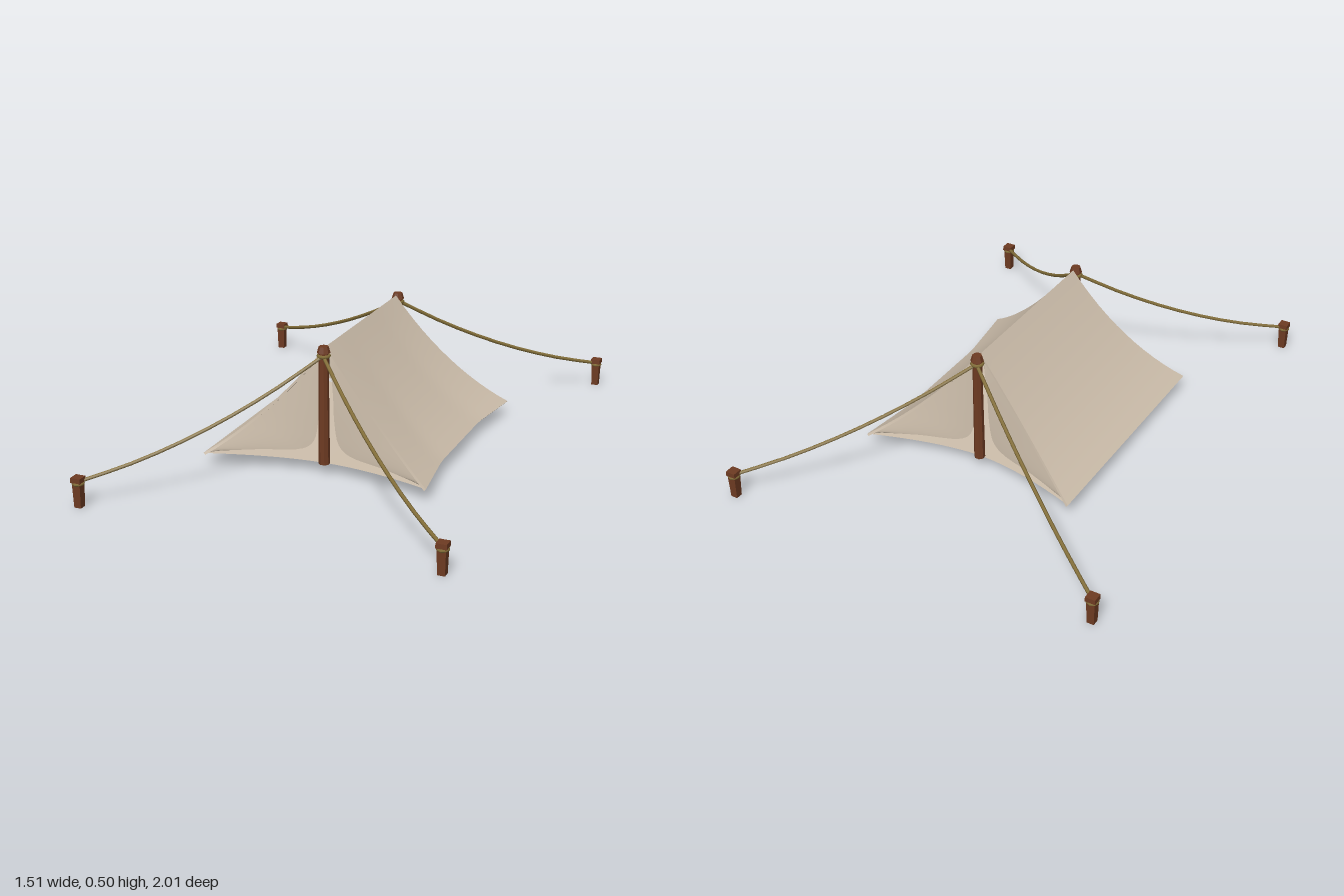
import * as THREE from 'three';
import { mergeGeometries } from 'three/addons/utils/BufferGeometryUtils.js';

const CX = 0.045; // ridge line

// Grid surface from a rule fn(u, v) -> [x, y, z], with u and v in 0..1
function surface(fn, nu, nv) {
  const pos = [], idx = [];
  for (let i = 0; i <= nu; i++)
    for (let j = 0; j <= nv; j++) pos.push(...fn(i / nu, j / nv));
  for (let i = 0; i < nu; i++)
    for (let j = 0; j < nv; j++) {
      const a = i * (nv + 1) + j, b = a + nv + 1;
      idx.push(a, a + 1, b, b, a + 1, b + 1);
    }
  const g = new THREE.BufferGeometry();
  g.setAttribute('position', new THREE.Float32BufferAttribute(pos, 3));
  g.setIndex(idx);
  g.computeVertexNormals();
  return g;
}

// Sagging roof cloth: side s, d = 0 ridge .. 1 eave, v = -1 back .. 1 front
function roofPoint(s, d, v, inset = 0) {
  const flare = Math.max(0, (Math.abs(v) - 0.45) / 0.55);
  const width = s > 0 ? 0.405 + 0.035 * flare : 0.443;
  return [
    CX + s * d * (width - inset * 0.6),
    0.49 - 0.435 * d - 0.14 * d * (1 - d) - inset * (1 - 0.4 * d),
    v * (0.35 + 0.135 * Math.pow(d, 1.7)),
  ];
}

export function createModel() {
  const model = new THREE.Group();
  const canvas = new THREE.MeshStandardMaterial({ color: 0xcfc0ad, side: THREE.DoubleSide });
  canvas.name = 'canvas';
  const wood = new THREE.MeshStandardMaterial({ color: 0x6e3b22 });
  wood.name = 'wood';
  const rope = new THREE.MeshStandardMaterial({ color: 0x85703a });
  rope.name = 'rope';

  const add = (name, geometry, material, x = 0, y = 0, z = 0, parent = model) => {
    const mesh = new THREE.Mesh(geometry, material);
    mesh.name = name;
    mesh.position.set(x, y, z);
    parent.add(mesh);
    return mesh;
  };

  // Roof: an outer and inner cloth face joined by hems
  const T = 0.012;
  for (const s of [1, -1]) {
    const sheets = [
      surface((u, v) => roofPoint(s, u, v * 2 - 1), 12, 20),
      surface((u, v) => roofPoint(s, u, v * 2 - 1, T), 12, 20),
      surface((u, v) => roofPoint(s, 1, v * 2 - 1, T * u), 1, 20),
    ];
    for (const e of [1, -1]) sheets.push(surface((u, v) => roofPoint(s, u, e, T * v), 12, 1));
    add(s > 0 ? 'leftRoof' : 'rightRoof', mergeGeometries(sheets), canvas);
  }

  // Door flaps: stretched from the roof edge to a curved opening
  const opening = new THREE.CatmullRomCurve3([
    [0.012, 0.46], [0.027, 0.3], [0.032, 0.2], [0.05, 0.115],
    [0.09, 0.083], [0.25, 0.071], [0.425, 0.058],
  ].map(([x, y]) => new THREE.Vector3(x, y, 0.348 + 0.125 * Math.pow(x / 0.44, 1.3))));
  for (const e of [1, -1])
    for (const s of [1, -1]) {
      const flap = surface((u, v) => {
        const o = roofPoint(s, u, e * 0.99, T * 0.7);
        const q = opening.getPoint(u);
        const p = [CX + s * q.x, q.y, e * q.z];
        return o.map((c, k) => c + (p[k] - c) * v);
      }, 24, 6);
      add((e > 0 ? 'front' : 'back') + (s > 0 ? 'LeftFlap' : 'RightFlap'), flap, canvas);
    }

  // Ground sheet: four pulled corners with hollow sides
  add('groundSheet', surface((a, b) => {
    const u = a * 2 - 1, v = b * 2 - 1;
    return [
      CX + u * (0.36 + 0.07 * Math.pow(Math.abs(v), 1.6)),
      0.041 + 0.011 * Math.abs(u),
      v * (0.37 + 0.105 * Math.pow(Math.abs(u), 1.6)),
    ];
  }, 16, 16), canvas);

  // Poles with a knob and a rope lashing
  const faceted = (top, bottom, h, sides) => {
    const g = new THREE.CylinderGeometry(top, bottom, h, sides).rotateY(Math.PI / sides).toNonIndexed();
    g.computeVertexNormals();
    return g;
  };
  const ring = (r, tube, sides) => new THREE.TorusGeometry(r, tube, 5, sides).rotateX(Math.PI / 2);
  for (const e of [1, -1]) {
    const pole = new THREE.Group();
    pole.name = e > 0 ? 'frontPole' : 'backPole';
    pole.position.set(CX, 0, e * 0.372);
    model.add(pole);
    add('shaft', faceted(0.018, 0.021, 0.435, 8), wood, 0, 0.2575, 0, pole);
    add('knob', faceted(0.018, 0.025, 0.024, 8), wood, 0, 0.484, 0, pole);
    add('lashing', ring(0.02, 0.007, 10), rope, 0, 0.46, 0, pole);
  }

  // Stakes and sagging guy ropes: stake x, stake z, sag
  const guys = [
    ['frontRight', -0.63, 0.978, 0.05], ['frontLeft', 0.722, 0.978, 0.055],
    ['backRight', -0.733, -0.92, 0.036], ['backLeft', 0.727, -0.98, 0.045],
  ];
  for (const [name, x, z, sag] of guys) {
    const stake = new THREE.Group();
    stake.name = name + 'Stake';
    stake.position.set(x, 0, z);
    model.add(stake);
    add('peg', faceted(0.023, 0.019, 0.1, 4), wood, 0, 0.05, 0, stake);
    add('head', faceted(0.027, 0.028, 0.018, 4), wood, 0, 0.105, 0, stake);
    add('lashing', ring(0.018, 0.006, 8), rope, 0, 0.09, 0, stake);

    const start = new THREE.Vector3(CX, 0.46, Math.sign(z) * 0.378);
    const end = new THREE.Vector3(x, 0.095, z);
    const points = [];
    for (let i = 0; i <= 5; i++) {
      const p = start.clone().lerp(end, i / 5);
      p.y -= 4 * sag * (i / 5) * (1 - i / 5);
      points.push(p);
    }
    add(name + 'GuyRope', new THREE.TubeGeometry(new THREE.CatmullRomCurve3(points), 10, 0.007, 6), rope);
  }
  return model;
}
